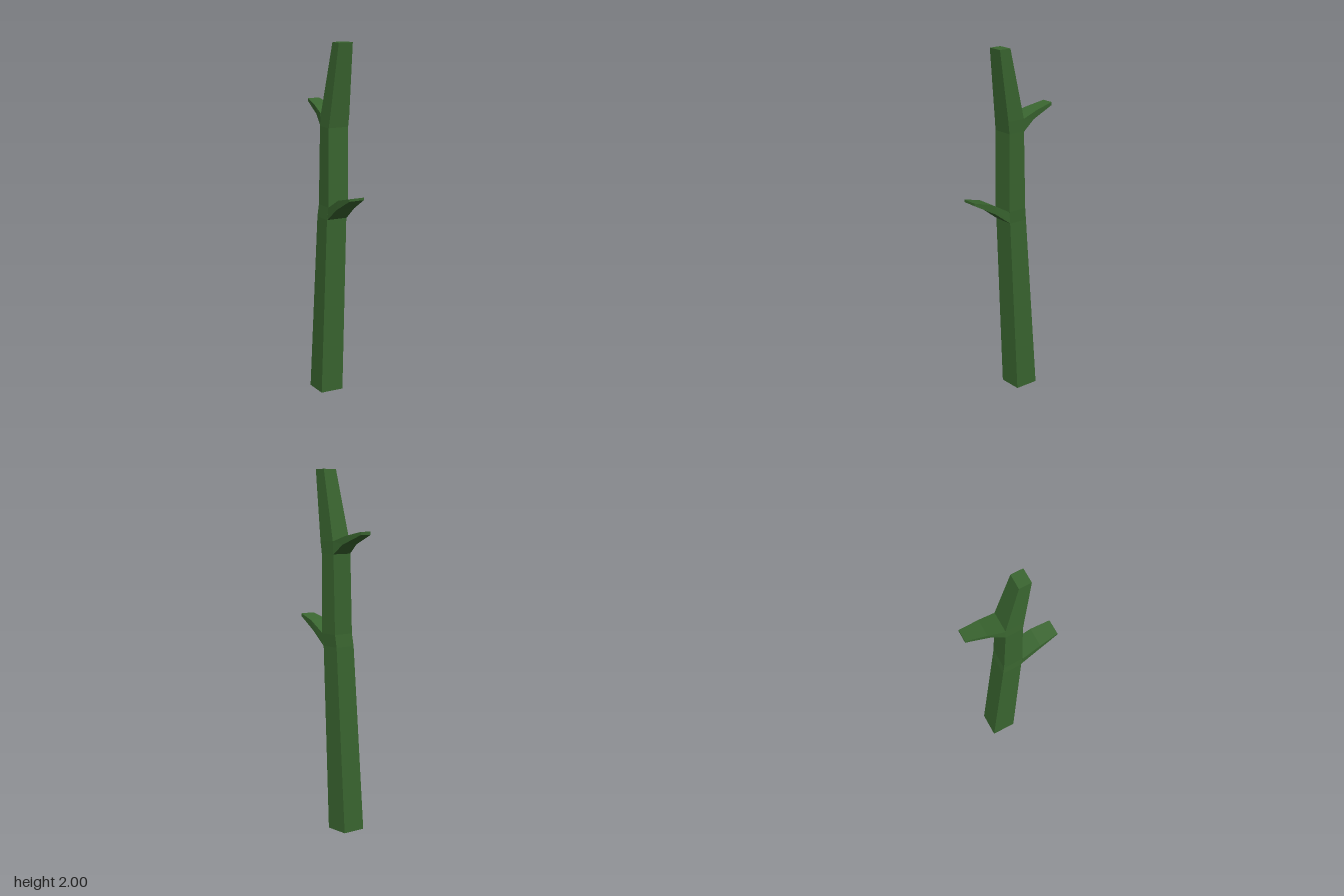
import * as THREE from 'three';

// Each section: [sA, yA, sB, yB, t0, t1]; s runs along the branch plane, t across it.
function loft(sections) {
  const pos = [];
  const point = (s, y, t) => [0.5 * s + 0.866 * t, y, 0.866 * s - 0.5 * t];
  const rings = sections.map(([sA, yA, sB, yB, t0, t1]) => [
    point(sA, yA, t0), point(sA, yA, t1), point(sB, yB, t1), point(sB, yB, t0),
  ]);
  const quad = (a, b, c, d) => pos.push(...a, ...b, ...c, ...a, ...c, ...d);
  for (let k = 0; k < rings.length - 1; k++) {
    const lo = rings[k], hi = rings[k + 1];
    for (let i = 0; i < 4; i++) {
      const j = (i + 1) % 4;
      quad(lo[j], lo[i], hi[i], hi[j]);
    }
  }
  // End caps
  const first = rings[0], last = rings[rings.length - 1];
  quad(first[0], first[1], first[2], first[3]);
  quad(last[3], last[2], last[1], last[0]);
  const geometry = new THREE.BufferGeometry();
  geometry.setAttribute('position', new THREE.Float32BufferAttribute(pos, 3));
  geometry.computeVertexNormals();
  return geometry;
}

export function createModel() {
  const group = new THREE.Group();
  group.name = 'thornyStem';
  const green = new THREE.MeshStandardMaterial({ color: 0x3a6630, flatShading: true });
  green.name = 'stem green';

  const add = (name, sections) => {
    const mesh = new THREE.Mesh(loft(sections), green);
    mesh.name = name;
    group.add(mesh);
  };

  // Square stem, leaning and tapering: [height, back, front, t0, t1]
  const stem = [
    [0, -0.16, -0.021, -0.078, 0.058],
    [1.03, -0.083, 0.03, -0.069, 0.053],
    [1.1, -0.074, 0.039, -0.064, 0.057],
    [1.54, -0.062, 0.039, -0.062, 0.058],
    [1.61, -0.059, 0.048, -0.057, 0.06],
    [2, 0.028, 0.098, -0.033, 0.052],
  ];
  add('stem', stem.map(([y, back, front, t0, t1]) => [back, y, front, y, t0, t1]));

  // Lower thorn, upper edge then lower edge
  add('frontThorn', [
    [0.039, 1.1, 0.03, 1.03, -0.066, 0.055],
    [0.15, 1.162, 0.13, 1.105, -0.065, 0.047],
    [0.26, 1.19, 0.26, 1.176, -0.057, 0.032],
  ]);

  // Upper thorn, lower edge then upper edge
  add('backThorn', [
    [-0.062, 1.54, -0.059, 1.61, -0.06, 0.06],
    [-0.135, 1.595, -0.155, 1.642, -0.045, 0.053],
    [-0.271, 1.65, -0.271, 1.667, -0.027, 0.0425],
  ]);
  return group;
}
